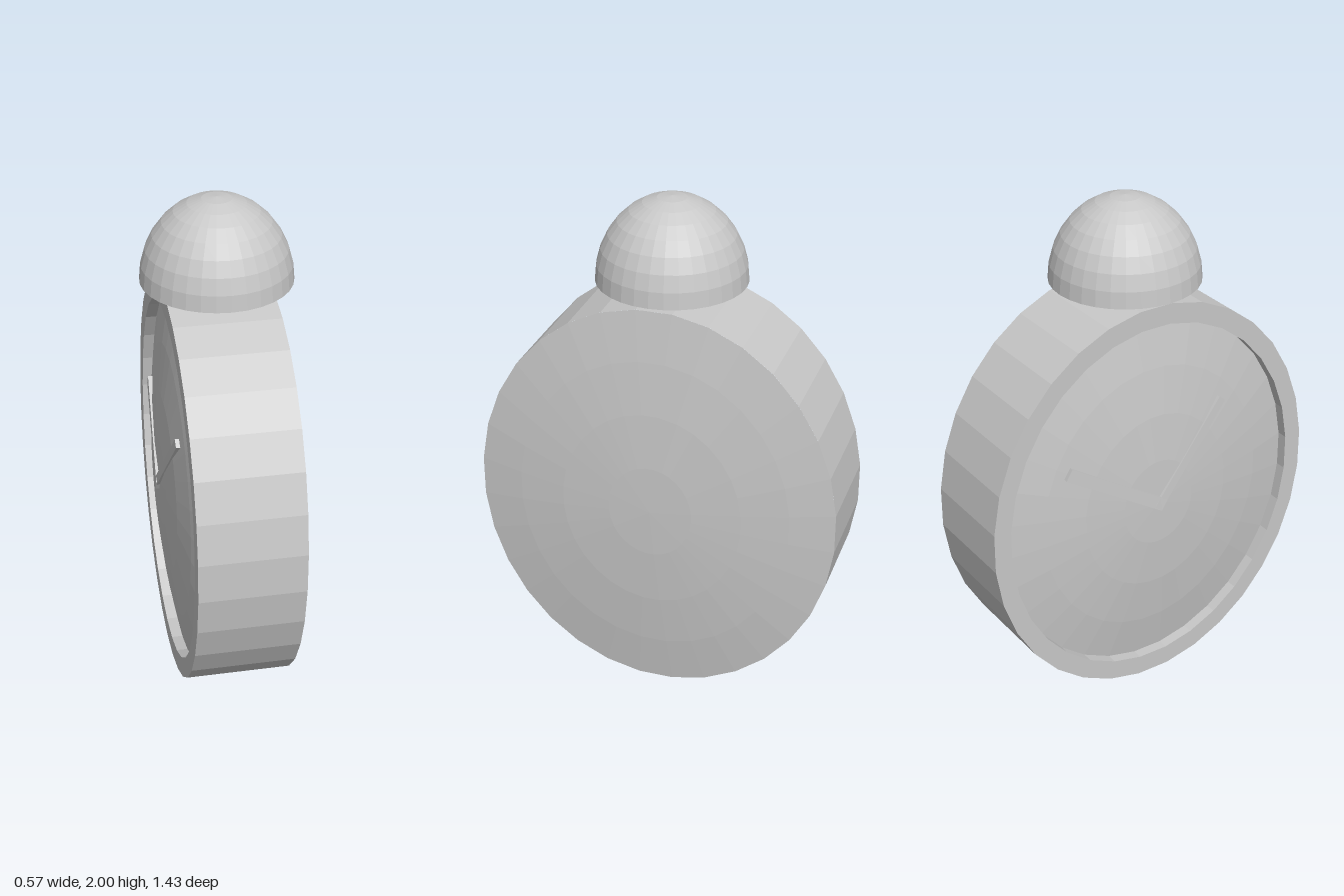
import * as THREE from 'three';

const SEGMENTS = 32;
const OUTER = 0.8165;   // case radius before the sideways squash
const INNER = 0.735;    // opening radius on the dial side
const SQUASH = 0.875;

// Faceted normals for the low-poly look
function faceted(geometry) {
  const g = geometry.index ? geometry.toNonIndexed() : geometry;
  g.computeVertexNormals();
  return g;
}

// Turn a profile of [radius, x] around the x axis, with flats at top and bottom
function turned(profile) {
  const points = profile.map(([r, x]) => new THREE.Vector2(r, x));
  const g = new THREE.LatheGeometry(points, SEGMENTS, Math.PI / SEGMENTS);
  g.rotateZ(-Math.PI / 2);
  g.scale(1, 1, SQUASH);
  g.translate(0, 0.8125, 0);
  return faceted(g);
}

export function createModel() {
  const model = new THREE.Group();
  model.name = 'alarmClock';
  const gray = new THREE.MeshStandardMaterial({ color: 0xc8c8c8 });
  gray.name = 'gray';

  const add = (parent, name, geometry) => {
    const mesh = new THREE.Mesh(geometry, gray);
    mesh.name = name;
    parent.add(mesh);
    return mesh;
  };

  // Clock body, turned very slightly off square
  const body = new THREE.Group();
  body.name = 'clockBody';
  body.rotation.y = -0.0106;
  model.add(body);

  // Case: recess wall, front rim and drum side
  add(body, 'case', turned([[INNER, -0.156], [INNER, -0.2], [OUTER, -0.2], [OUTER, 0.205]]));

  // Bulging dial
  const dial = [0, 0.18, 0.37, 0.56, INNER].map((r) => [r, -0.232 + 0.14 * r * r]);
  add(body, 'dial', turned(dial));

  // Shallow domed back
  const back = [OUTER, 0.62, 0.41, 0.19, 0].map((r) => [r, 0.272 - 0.1 * r * r]);
  add(body, 'back', turned(back));

  // Hands, leaning back along the dial
  for (const [name, angle, length, width] of [
    ['minuteHand', 0.71, 0.47, 0.035],
    ['hourHand', -1.02, 0.46, 0.05],
  ]) {
    const g = new THREE.BoxGeometry(0.03, length + 0.02, width);
    g.translate(0, length / 2 - 0.01, 0);
    g.rotateZ(-0.07);
    g.rotateX(angle);
    g.translate(-0.23, 0.81, 0);
    add(body, name, faceted(g));
  }

  // Stem
  const stem = new THREE.CylinderGeometry(0.046, 0.046, 0.1, 16);
  stem.translate(0, 1.65, 0);
  add(model, 'stem', faceted(stem));

  // Bell: half ellipsoid closed underneath
  const profile = [new THREE.Vector2(0, 0)];
  for (let i = 0; i <= 8; i++) {
    const a = (i / 8) * Math.PI / 2;
    profile.push(new THREE.Vector2(i === 8 ? 0 : 0.287 * Math.cos(a), 0.325 * Math.sin(a)));
  }
  const bell = new THREE.LatheGeometry(profile, SEGMENTS);
  bell.translate(0, 1.675, -0.003);
  add(model, 'bell', faceted(bell));

  return model;
}
